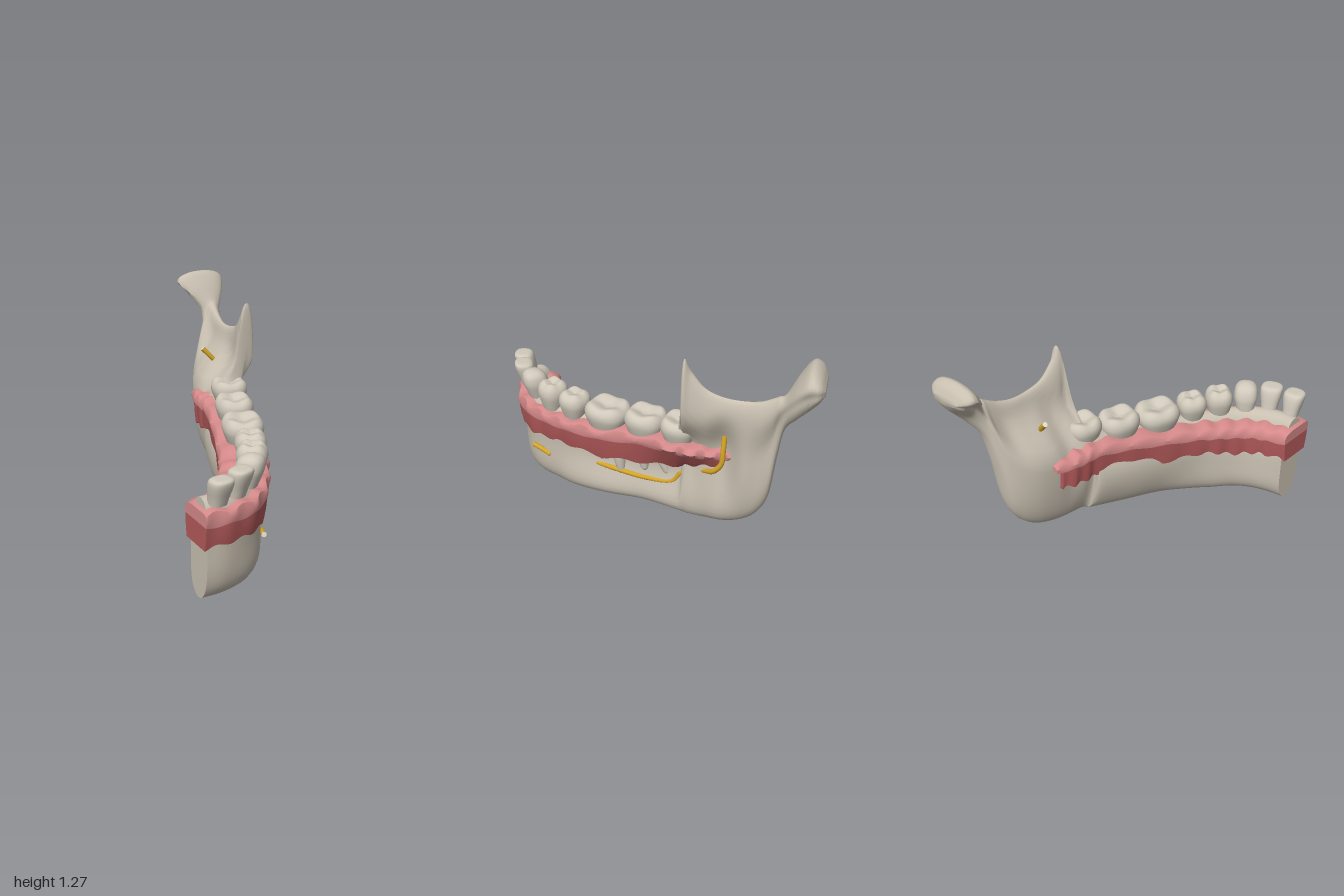
import * as THREE from 'three';
import { mergeVertices, toCreasedNormals } from 'three/addons/utils/BufferGeometryUtils.js';

const mat = (name, color) => Object.assign(new THREE.MeshStandardMaterial({ color }), { name });
const MATS = {
  bone: mat('bone', 0xc9c0b1),
  tooth: mat('tooth', 0xd0c9bb),
  gumLight: mat('light gum', 0xd68a8a),
  gumDark: mat('dark gum', 0xb45a5a),
  nerve: mat('nerve yellow', 0xd6a528),
  nerveEnd: mat('nerve end', 0xe4dccb),
};

function add(parent, name, geo, material) {
  const mesh = new THREE.Mesh(geo, material);
  mesh.name = name;
  parent.add(mesh);
  return mesh;
}

// Smooth (Catmull-Rom) row of a station table at fractional index s
function sampleRow(rows, s) {
  const last = rows.length - 1;
  const i = Math.min(Math.floor(s), last - 1);
  const t = s - i;
  const at = (k) => rows[Math.max(0, Math.min(last, k))];
  return rows[i].map((p1, c) => {
    const p0 = at(i - 1)[c], p2 = at(i + 1)[c], p3 = at(i + 2)[c];
    return p1 + 0.5 * t * (p2 - p0 + t * (2 * p0 - 5 * p1 + 4 * p2 - p3 + t * (3 * (p1 - p2) + p3 - p0)));
  });
}

// Skin closed sections along stations [x, z, outward angle, ...]; section() gives [outward, y] pairs
function loft(rows, steps, section) {
  const pos = [], idx = [];
  const count = (rows.length - 1) * steps;
  let n = 0;
  for (let j = 0; j <= count; j++) {
    const row = sampleRow(rows, j / steps);
    const a = THREE.MathUtils.degToRad(row[2]);
    const ring = section(row, j / steps);
    n = ring.length;
    for (const [u, y] of ring) pos.push(row[0] + u * Math.cos(a), y, row[1] + u * Math.sin(a));
  }
  for (let j = 0; j < count; j++) {
    for (let i = 0; i < n; i++) {
      const a = j * n + i, d = j * n + (i + 1) % n;
      idx.push(a, a + n, d + n, a, d + n, d);
    }
  }
  // end caps
  for (const end of [0, count]) {
    const c = pos.length / 3, mid = [0, 0, 0];
    for (let i = 0; i < n; i++) for (let k = 0; k < 3; k++) mid[k] += pos[(end * n + i) * 3 + k] / n;
    pos.push(...mid);
    for (let i = 0; i < n; i++) {
      const p = end * n + i, q = end * n + (i + 1) % n;
      idx.push(c, ...(end ? [q, p] : [p, q]));
    }
  }
  const geo = new THREE.BufferGeometry();
  geo.setAttribute('position', new THREE.Float32BufferAttribute(pos, 3));
  geo.setIndex(idx);
  return toCreasedNormals(geo, 0.95);
}

// Jaw body: x, z, angle, bottom, top, crest height, centre (low, mid, crest), half width (low, mid, crest)
const BODY = [
  [-0.525, 0.85, 90, 0.005, 0.58, 0.5, -0.02, -0.01, 0.005, 0.09, 0.09, 0.085],
  [-0.42, 0.83, 80, 0.003, 0.58, 0.5, -0.01, 0, 0.02, 0.1, 0.1, 0.085],
  [-0.3, 0.78, 62, 0.003, 0.58, 0.5, 0, 0, 0.02, 0.11, 0.1, 0.085],
  [-0.2, 0.7, 50, 0.01, 0.575, 0.5, 0, 0, 0.02, 0.11, 0.1, 0.085],
  [-0.12, 0.58, 37, 0.022, 0.575, 0.5, 0, 0, 0.02, 0.1, 0.09, 0.085],
  [-0.05, 0.45, 28, 0.042, 0.58, 0.55, 0.01, -0.01, 0.02, 0.1, 0.08, 0.085],
  [0.04, 0.25, 20, 0.08, 0.6, 0.57, 0.01, -0.04, 0.015, 0.09, 0.075, 0.09],
  [0.11, 0.01, 17, 0.12, 0.63, 0.59, 0.01, -0.04, 0.01, 0.09, 0.08, 0.09],
  [0.2, -0.19, 12, 0.135, 0.71, 0.64, 0, -0.065, 0.01, 0.085, 0.075, 0.095],
];
// Ramus, notch and condyle: z, bottom, top, crest height, centres, half widths (about x = 0.25)
const RAMUS = [
  [-0.225, 0.137, 0.88, 0.84, -0.03, -0.08, 0.05, 0.08, 0.065, 0.06],
  [-0.245, 0.137, 1.2, 0.89, -0.02, -0.07, 0.112, 0.08, 0.07, 0.052],
  [-0.29, 0.137, 1.14, 0.89, -0.01, -0.065, 0.112, 0.08, 0.07, 0.048],
  [-0.37, 0.14, 1.05, 0.9, 0, -0.03, 0.12, 0.085, 0.075, 0.042],
  [-0.47, 0.15, 1.015, 0.95, 0.02, -0.025, 0.13, 0.09, 0.075, 0.042],
  [-0.58, 0.19, 1.01, 0.95, 0.04, 0.035, 0.138, 0.09, 0.11, 0.042],
  [-0.67, 0.27, 1.03, 0.95, 0.06, 0.06, 0.155, 0.085, 0.09, 0.045],
  [-0.73, 0.4, 1.06, 1, 0.075, 0.085, 0.165, 0.07, 0.065, 0.047],
  [-0.765, 0.66, 1.08, 1.04, 0.1, 0.12, 0.172, 0.05, 0.05, 0.05],
  [-0.8, 0.87, 1.1, 1.07, 0.14, 0.16, 0.178, 0.045, 0.05, 0.055],
  [-0.86, 0.97, 1.2, 1.16, 0.19, 0.19, 0.16, 0.05, 0.075, 0.125],
  [-0.92, 1.04, 1.27, 1.21, 0.21, 0.18, 0.155, 0.06, 0.11, 0.16],
  [-0.97, 1.1, 1.25, 1.21, 0.21, 0.18, 0.16, 0.07, 0.12, 0.15],
  [-1, 1.15, 1.2, 1.19, 0.2, 0.18, 0.17, 0.06, 0.08, 0.1],
];

function boneSection([, , , y0, y1, crest, cB, cM, cT, wB, wM, wT]) {
  const { lerp, smoothstep } = THREE.MathUtils;
  const m = 20, outer = [], inner = [];
  for (let k = 0; k <= m; k++) {
    const t = (1 - Math.cos(Math.PI * k / m)) / 2;
    const y = lerp(y0, y1, t);
    const low = smoothstep(y, y0, lerp(y0, crest, 0.55)), high = smoothstep(y, lerp(y0, crest, 0.6), crest);
    const w = lerp(lerp(wB, wM, low), wT, high) * Math.sqrt(Math.max(0, 1 - (2 * t - 1) ** 4));
    const c = lerp(lerp(cB, cM, low), cT, high);
    outer.push([c + w, y]);
    if (k > 0 && k < m) inner.unshift([c - w, y]);
  }
  return outer.concat(inner);
}

// Gum: x, z, angle, inner reach, outer reach, outer reach at the bottom, bottom, colour line, top
const GUM = [
  [-0.55, 0.85, 90, -0.11, 0.115, 0.1, 0.335, 0.45, 0.535],
  [-0.42, 0.83, 80, -0.13, 0.13, 0.115, 0.34, 0.45, 0.53],
  [-0.3, 0.78, 62, -0.13, 0.145, 0.125, 0.335, 0.45, 0.53],
  [-0.2, 0.7, 50, -0.14, 0.14, 0.12, 0.33, 0.455, 0.53],
  [-0.12, 0.58, 37, -0.14, 0.14, 0.115, 0.36, 0.47, 0.54],
  [-0.05, 0.45, 28, -0.13, 0.14, 0.11, 0.375, 0.485, 0.555],
  [0.04, 0.25, 20, -0.13, 0.135, 0.1, 0.38, 0.51, 0.58],
  [0.11, 0.01, 17, -0.11, 0.13, 0.08, 0.41, 0.55, 0.62],
  [0.18, -0.19, 12, -0.12, 0.165, 0.06, 0.45, 0.58, 0.65],
  [0.215, -0.3, 5, -0.14, 0.15, 0.025, 0.455, 0.58, 0.65],
  [0.23, -0.4, 0, -0.14, 0.12, 0.03, 0.455, 0.58, 0.645],
  [0.24, -0.51, 0, -0.11, 0.09, 0.04, 0.455, 0.58, 0.64],
];
const GUM_LOWER = GUM.map((r, i) => (i === GUM.length - 1 ? [0.235, -0.465, ...r.slice(2)] : r));

const gumSection = (upper) => ([, , , inn, out, outLow, y0, yd, y1], s) => {
  const wave = Math.cos(2 * Math.PI * s);
  const o = out + 0.007 * wave, i = inn - 0.003 * wave, edge = THREE.MathUtils.lerp(outLow, o, 0.75);
  const line = yd + 0.006 * wave, low = y0 - 0.01 * wave, top = y1 - 0.008 * wave;
  return upper
    ? [[edge, line], [o, (line + top) / 2], [o - 0.01, top - 0.008], [o - 0.035, top],
       [i + 0.06, top], [i + 0.015, top - 0.012], [i - 0.003, (line + top) / 2], [i, line]]
    : [[outLow, low], [(outLow + edge) / 2 + 0.003, (low + line) / 2], [edge, line],
       [i, line], [i + 0.004, (low + line) / 2], [i + 0.012, low]];
};

// Crown silhouettes as [radius, height] and how each kind is shaped
const KINDS = {
  incisor: { profile: [[0.7, 0], [0.8, 0.3], [0.94, 0.6], [1, 0.82], [0.92, 0.95], [0.6, 1], [0, 1]], lean: 0.04, thin: 0.2, cusp: 0 },
  canine: { profile: [[0.7, 0], [0.88, 0.3], [1, 0.55], [0.92, 0.8], [0.65, 0.94], [0.25, 1], [0, 1.01]], lean: 0.03, thin: 0.1, cusp: 0 },
  premolar: { profile: [[0.7, 0], [0.88, 0.3], [1, 0.58], [0.92, 0.82], [0.62, 0.98], [0.35, 0.95], [0, 0.88]], lean: 0, thin: 0, cusp: 0.05 },
  molar: { profile: [[0.8, 0], [0.93, 0.3], [1, 0.56], [0.95, 0.8], [0.76, 0.97], [0.48, 0.93], [0.2, 0.82], [0, 0.8]], lean: 0, thin: 0, cusp: 0.07 },
};

function crown(kind, w, d, h) {
  const { profile, lean, thin, cusp } = KINDS[kind];
  const curve = new THREE.SplineCurve(profile.map((p) => new THREE.Vector2(...p)));
  const pts = curve.getPoints(20).map((p) => p.set(Math.max(0, p.x), p.y));
  let geo = new THREE.LatheGeometry(pts, 32);
  geo.deleteAttribute('uv');
  geo.deleteAttribute('normal');
  const p = geo.attributes.position;
  for (let i = 0; i < p.count; i++) {
    const x = p.getX(i), y = p.getY(i), z = p.getZ(i);
    const a = Math.atan2(z, x), r = Math.hypot(x, z);
    const square = 1 / (Math.abs(Math.cos(a)) ** 2.6 + Math.abs(Math.sin(a)) ** 2.6) ** (1 / 2.6);
    const bump = y > 0.6 ? -cusp * Math.cos(4 * a) * r * (y - 0.6) * 2.5 : 0;
    p.setXYZ(i, x * square * d / 2 * (1 - thin * y) + lean * y, (y + bump) * h, z * square * w / 2);
  }
  geo = mergeVertices(geo, 1e-5);
  geo.computeVertexNormals();
  return geo;
}

// Tapered root from neck point a to rounded tip b
function root(parent, a, b, r) {
  const A = new THREE.Vector3(...a), dir = new THREE.Vector3(...b).sub(A), len = dir.length();
  const prof = [[r, 0], [0.75 * r, 0.55 * len], [0.4 * r, 0.92 * len], [0.22 * r, 0.985 * len], [0, len]];
  const mesh = add(parent, 'toothRoot', new THREE.LatheGeometry(prof.map((p) => new THREE.Vector2(...p)), 16), MATS.tooth);
  mesh.position.copy(A);
  mesh.quaternion.setFromUnitVectors(new THREE.Vector3(0, 1, 0), dir.normalize());
}

// Round cord with a disc on each cut end
function cord(parent, name, pts, r, endMat) {
  const curve = new THREE.CatmullRomCurve3(pts.map((p) => new THREE.Vector3(...p)));
  add(parent, name, new THREE.TubeGeometry(curve, pts.length * 10, r, 10), MATS.nerve);
  for (const t of [0, 1]) {
    const cap = add(parent, name + 'End', new THREE.CircleGeometry(r, 10), endMat);
    cap.position.copy(curve.getPointAt(t));
    cap.lookAt(cap.position.clone().addScaledVector(curve.getTangentAt(t), t ? 1 : -1));
  }
}

export function createModel() {
  const model = new THREE.Group();
  model.name = 'halfJaw';

  // Bone
  const boneRows = BODY.concat(RAMUS.map(([z, ...rest]) => [0.25, z, 0, ...rest]));
  add(model, 'jawBone', loft(boneRows, 6, boneSection), MATS.bone);

  // Gum
  add(model, 'upperGum', loft(GUM, 8, gumSection(true)), MATS.gumLight);
  add(model, 'lowerGum', loft(GUM_LOWER, 8, gumSection(false)), MATS.gumDark);

  // Teeth: kind, x, z, angle, width, depth, base, top
  const teeth = new THREE.Group();
  teeth.name = 'teeth';
  model.add(teeth);
  [
    ['incisor', -0.458, 0.905, 82, 0.128, 0.14, 0.55, 0.7],
    ['incisor', -0.328, 0.86, 70, 0.135, 0.14, 0.55, 0.71],
    ['canine', -0.212, 0.77, 53, 0.145, 0.16, 0.545, 0.725],
    ['premolar', -0.105, 0.64, 38, 0.165, 0.17, 0.54, 0.715],
    ['premolar', -0.022, 0.48, 28, 0.175, 0.175, 0.55, 0.71],
    ['molar', 0.058, 0.255, 20, 0.265, 0.235, 0.57, 0.71],
    ['molar', 0.14, 0.01, 15, 0.24, 0.215, 0.6, 0.74],
    ['molar', 0.225, -0.205, 12, 0.21, 0.21, 0.64, 0.77],
  ].forEach(([kind, x, z, ang, w, d, y0, y1]) => {
    const mesh = add(teeth, kind, crown(kind, w, d, y1 - y0), MATS.tooth);
    mesh.position.set(x, y0, z);
    mesh.rotation.y = -THREE.MathUtils.degToRad(ang);
  });

  // Exposed molar roots
  root(teeth, [0.06, 0.57, 0.32], [0.075, 0.33, 0.29], 0.06);
  root(teeth, [0.09, 0.57, 0.2], [0.105, 0.262, 0.165], 0.06);
  root(teeth, [0.14, 0.6, 0.06], [0.16, 0.345, 0.01], 0.055);
  root(teeth, [0.16, 0.6, -0.04], [0.18, 0.35, -0.13], 0.055);

  // Nerves
  cord(model, 'mainNerve', [
    [0.05, 0.28, 0.33], [0.105, 0.288, 0.2], [0.165, 0.295, 0], [0.205, 0.325, -0.16], [0.22, 0.4, -0.22],
    [0.27, 0.465, -0.34], [0.34, 0.515, -0.42], [0.355, 0.58, -0.465], [0.352, 0.66, -0.472], [0.335, 0.75, -0.475],
  ], 0.015, MATS.nerve);
  cord(model, 'chinNerve', [[-0.11, 0.245, 0.785], [-0.085, 0.232, 0.72], [-0.065, 0.215, 0.665]], 0.015, MATS.nerveEnd);
  cord(model, 'innerNerve', [[0.205, 0.885, -0.51], [0.25, 0.835, -0.495], [0.3, 0.78, -0.48]], 0.015, MATS.nerveEnd);

  return model;
}
